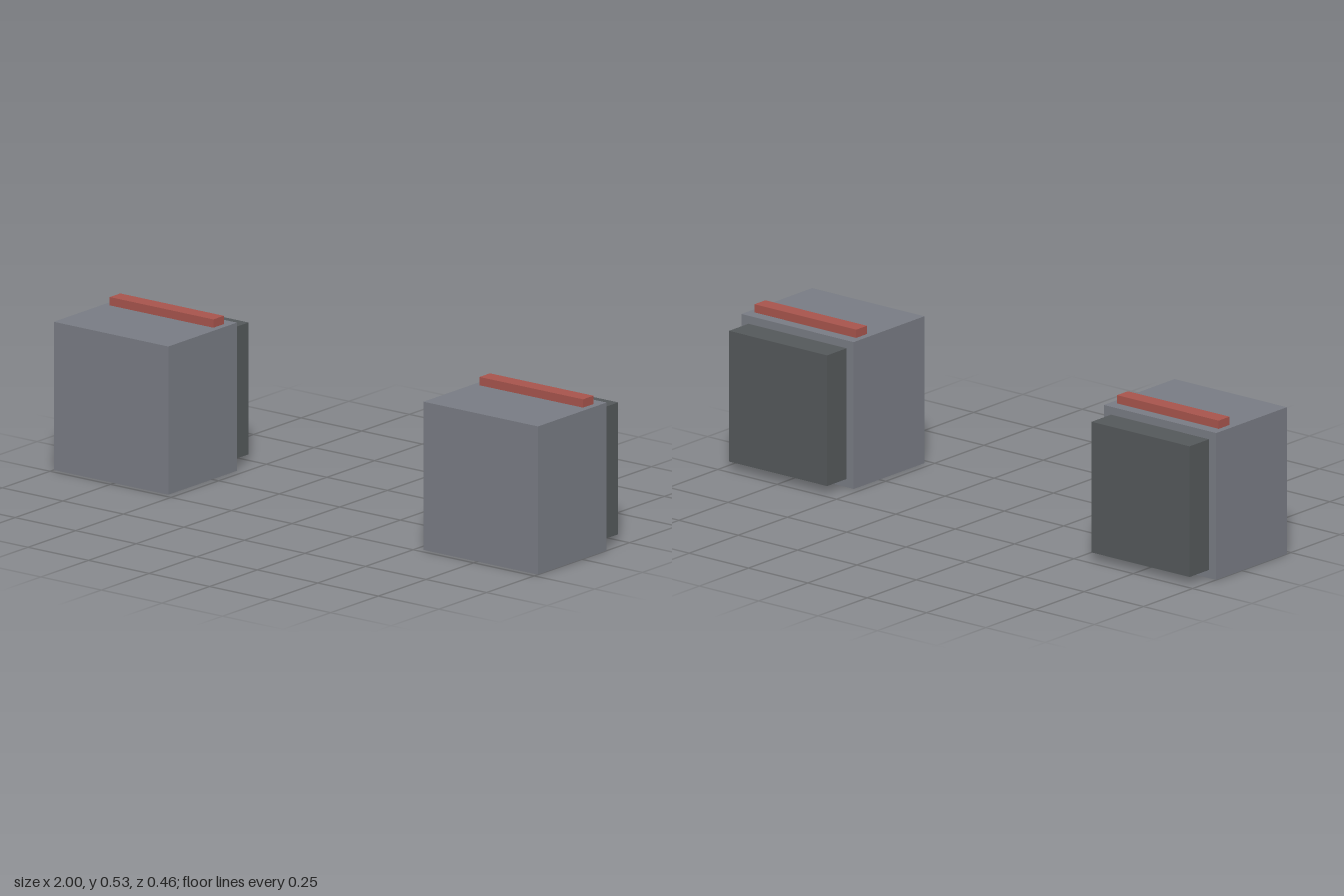
import * as THREE from 'three';

const bodyMat = new THREE.MeshStandardMaterial({ color: 0x787b83 });
const panelMat = new THREE.MeshStandardMaterial({ color: 0x54585a });
const stripMat = new THREE.MeshStandardMaterial({ color: 0xa6544c });

// Box from its size and centre
function box(name, [w, h, d], [x, y, z], material) {
  const mesh = new THREE.Mesh(new THREE.BoxGeometry(w, h, d), material);
  mesh.name = name;
  mesh.position.set(x, y, z);
  return mesh;
}

export function createModel() {
  const model = new THREE.Group();
  model.name = 'cabinetPair';

  for (const side of [-1, 1]) {
    const cabinet = new THREE.Group();
    cabinet.name = side > 0 ? 'leftCabinet' : 'rightCabinet';
    cabinet.position.x = side * 0.7635;
    cabinet.add(
      // main block
      box('body', [0.473, 0.5, 0.36], [0, 0.25, 0.05], bodyMat),
      // inset panel on the rear face
      box('backPanel', [0.413, 0.445, 0.099], [0, 0.2505, -0.1795], panelMat),
      // raised bar across the top
      box('topStrip', [0.428, 0.028, 0.055], [0, 0.514, -0.0625], stripMat),
    );
    model.add(cabinet);
  }
  return model;
}
